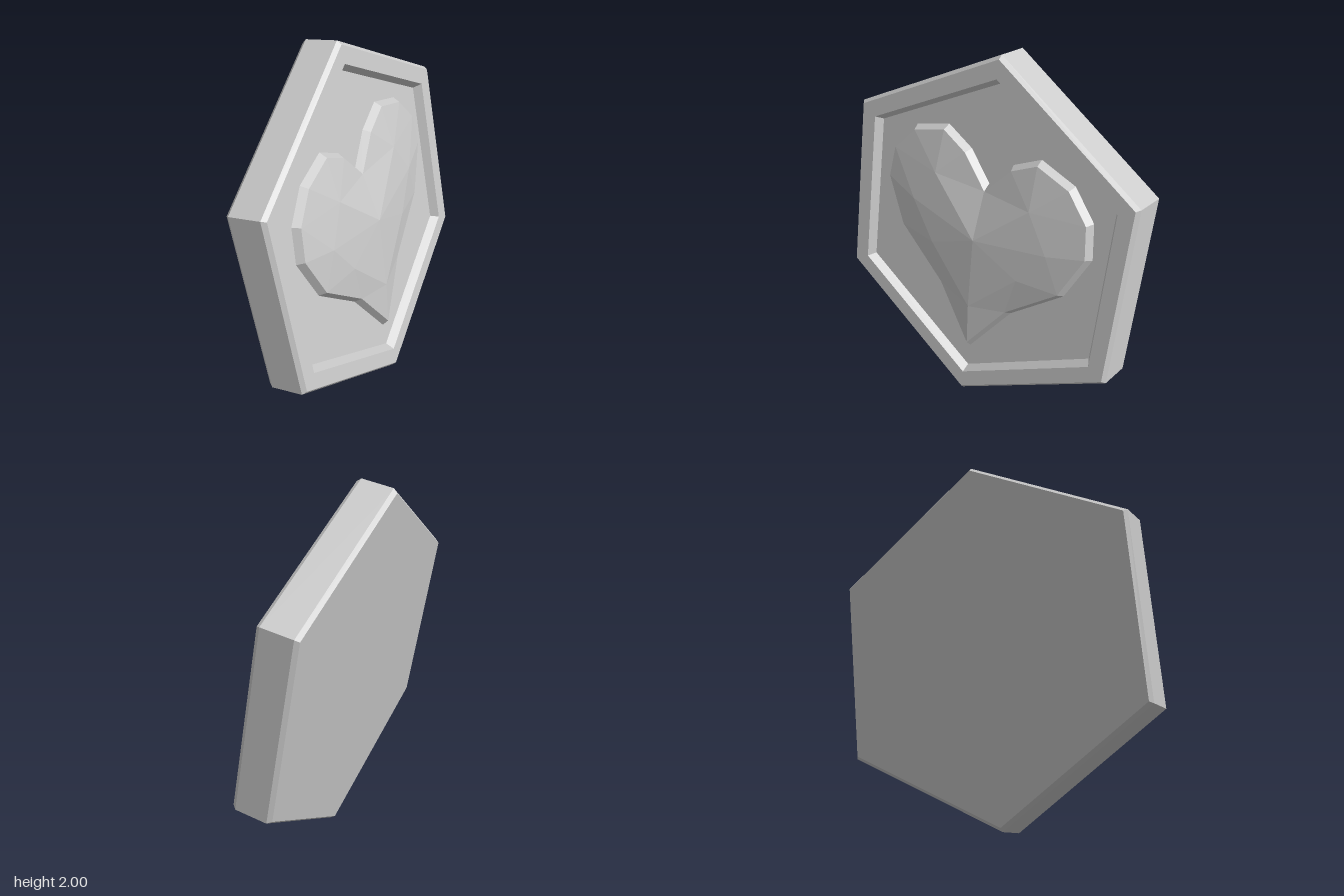
import * as THREE from 'three';

const material = new THREE.MeshStandardMaterial({ color: 0xcccccc, flatShading: true, side: THREE.DoubleSide });

// Six-sided plate with chamfered edges and a sunken front, facing +z
function makePlate() {
  const profile = [
    [0, -0.11], [0.98, -0.11], [1, -0.088], [1, 0.088],
    [0.98, 0.11], [0.88, 0.11], [0.85, 0.065], [0, 0.065],
  ].map(([r, h]) => new THREE.Vector2(r, h));
  const geometry = new THREE.LatheGeometry(profile, 6);
  geometry.rotateX(Math.PI / 2);
  const plate = new THREE.Mesh(geometry, material);
  plate.name = 'hexagonPlate';
  return plate;
}

// Mitred inset of a clockwise outline
function inset(points, amount) {
  const n = points.length;
  return points.map((p, i) => {
    const a = p.clone().sub(points[(i + n - 1) % n]).normalize();
    const b = points[(i + 1) % n].clone().sub(p).normalize();
    const na = new THREE.Vector2(a.y, -a.x);
    const nb = new THREE.Vector2(b.y, -b.x);
    return p.clone().addScaledVector(na.clone().add(nb), amount / (1 + na.dot(nb)));
  });
}

// Faceted heart: tapered wall, then a low cut-gem crown
function makeHeart() {
  // Right half of the outline, from cleft to tip
  const half = [
    [0, 0.31], [0.13, 0.46], [0.29, 0.546], [0.5, 0.477], [0.633, 0.323],
    [0.66, 0.128], [0.535, -0.14], [0.237, -0.388], [0, -0.72],
  ];
  const left = half.slice(1, -1).reverse().map(([x, y]) => [-x, y]);
  const outline = [...half, ...left].map(([x, y]) => new THREE.Vector2(x, y));
  const base = outline.map((p) => new THREE.Vector3(p.x, p.y, 0.06));
  const rim = inset(outline, 0.025).map((p) => new THREE.Vector3(p.x, p.y, 0.105));

  const corners = [];
  const face = (a, b, c) => corners.push(a, b, c);
  base.forEach((p, i) => {
    const j = (i + 1) % base.length;
    face(p, rim[i], base[j]);
    face(base[j], rim[i], rim[j]);
  });

  // Crown facets of one half, mirrored to the other; 9 to 13 are inner points
  const points = [
    ...rim.slice(0, 9),
    new THREE.Vector3(0.3, 0.28, 0.138),
    new THREE.Vector3(0.43, 0.08, 0.138),
    new THREE.Vector3(0.28, -0.13, 0.138),
    new THREE.Vector3(0, -0.42, 0.135),
    new THREE.Vector3(0, 0, 0.16),
  ];
  const facets = [
    [13, 0, 9], [0, 1, 9], [1, 2, 9], [2, 3, 9], [3, 4, 9],
    [9, 4, 10], [4, 5, 10], [5, 6, 10], [10, 6, 11], [13, 9, 10],
    [13, 10, 11], [6, 7, 11], [11, 7, 12], [13, 11, 12], [7, 8, 12],
  ];
  const mirror = (p) => new THREE.Vector3(-p.x, p.y, p.z);
  for (const facet of facets) {
    const [a, b, c] = facet.map((i) => points[i]);
    // Keep every facet turned to the front
    const turn = (b.x - a.x) * (c.y - a.y) - (b.y - a.y) * (c.x - a.x);
    const [p, q, r] = turn > 0 ? [a, b, c] : [a, c, b];
    face(p, q, r);
    face(mirror(p), mirror(r), mirror(q));
  }

  const geometry = new THREE.BufferGeometry().setFromPoints(corners);
  geometry.computeVertexNormals();
  const heart = new THREE.Mesh(geometry, material);
  heart.name = 'facetedHeart';
  return heart;
}

export function createModel() {
  const medallion = new THREE.Group();
  medallion.name = 'medallion';
  medallion.add(makePlate(), makeHeart());

  // Tilted pose
  const up = new THREE.Vector3(-0.06, 0.984, -0.166).normalize();
  const right = new THREE.Vector3(0.939, 0, -0.343);
  const normal = right.clone().cross(up).normalize();
  right.crossVectors(up, normal);
  medallion.quaternion.setFromRotationMatrix(new THREE.Matrix4().makeBasis(right, up, normal));
  medallion.position.y = 1;

  const model = new THREE.Group();
  model.name = 'heartMedallion';
  model.add(medallion);
  return model;
}
